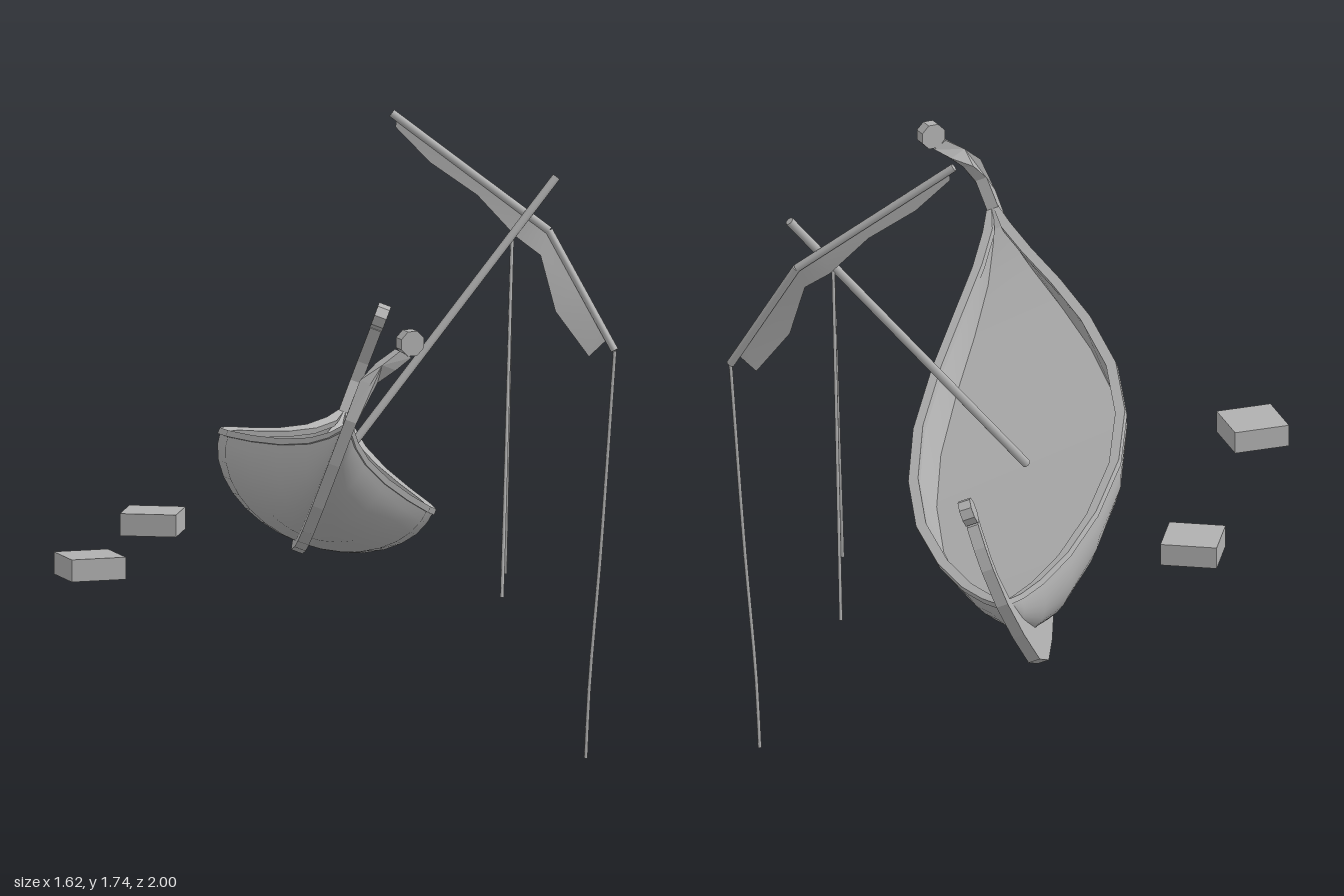
import * as THREE from 'three';
import { mergeGeometries } from 'three/addons/utils/BufferGeometryUtils.js';

const grey = new THREE.MeshStandardMaterial({ color: 0xb0b0b0, side: THREE.DoubleSide });
grey.name = 'weathered grey';
const V = (x, y, z) => new THREE.Vector3(x, y, z);

function part(name, geometry, parent) {
  const mesh = new THREE.Mesh(geometry, grey);
  mesh.name = name;
  parent.add(mesh);
  return mesh;
}

// Surface through rows of points, smooth unless flat is set
function loft(rows, flat = false) {
  const n = rows[0].length, index = [];
  for (let i = 0; i < rows.length - 1; i++) {
    for (let j = 0; j < n - 1; j++) {
      const a = i * n + j, b = a + n;
      index.push(a, b, a + 1, b, b + 1, a + 1);
    }
  }
  let g = new THREE.BufferGeometry();
  g.setAttribute('position', new THREE.Float32BufferAttribute(rows.flat(2), 3));
  g.setIndex(index);
  if (flat) g = g.toNonIndexed();
  g.computeVertexNormals();
  return g;
}

// Straight pole between two points
function pole(a, b, r, sides = 8) {
  const d = b.clone().sub(a);
  const g = new THREE.CylinderGeometry(r, r, d.length(), sides);
  g.applyQuaternion(new THREE.Quaternion().setFromUnitVectors(V(0, 1, 0), d.normalize()));
  const m = a.clone().add(b).multiplyScalar(0.5);
  return g.translate(m.x, m.y, m.z);
}

// Half stations from midship to stem: [along, half width, rail height, keel height]
const half = [
  [0, 0.305, -0.14, -0.35], [0.25, 0.285, -0.135, -0.345], [0.5, 0.222, -0.12, -0.32],
  [0.7, 0.148, -0.097, -0.275], [0.85, 0.08, -0.065, -0.2], [0.95, 0.036, -0.03, -0.11],
  [1.01, 0.012, 0, -0.02],
];
const stations = [...half.slice(1).reverse().map(([s, ...r]) => [-s, ...r]), ...half];

function buildHull(ship) {
  // Round outer skin
  part('hull', loft(stations.map(([s, w, g, k]) => {
    const row = [];
    for (let i = 0; i <= 16; i++) {
      const a = -Math.PI / 2 + Math.PI * i / 16;
      row.push([w * Math.sin(a), g + (k - g) * Math.cos(a), s]);
    }
    return row;
  })), ship);

  // Sunken deck between the side walls
  const deckY = ([, , g, k]) => g - Math.min(0.1, (g - k) * 0.48);
  const deckW = (w) => Math.max(0.004, w * 0.9 - 0.008);
  part('deck', loft(stations.map((q) => [-1, 1].map((m) => [m * deckW(q[1]), deckY(q), q[0]]))), ship);

  for (const m of [-1, 1]) {
    const side = m < 0 ? 'right' : 'left';
    part(side + 'InnerWall', loft(stations.map((q) => [
      [m * Math.max(0.004, q[1] - 0.022), q[2], q[0]], [m * deckW(q[1]), deckY(q), q[0]],
    ])), ship);
    // Rail with a small square section
    part(side + 'Rail', loft(stations.map(([s, w, g]) => {
      const o = m * (w + 0.004), i = m * Math.max(0.002, w - 0.024);
      return [[o, g - 0.014, s], [o, g + 0.003, s], [i, g + 0.003, s], [i, g - 0.014, s], [o, g - 0.014, s]];
    }), true), ship);
  }
}

// Keel plank rising to a curled stem with a round knob; the bow's curl is twisted sideways
function stemGeometry(twist) {
  const outline = [
    [0, -0.375], [0.51, -0.356], [0.7, -0.335], [0.856, -0.302], [0.965, -0.228], [1.026, -0.106],
    [1.062, 0.02], [1.053, 0.132], [1.03, 0.19], [0.994, 0.242],
    [0.955, 0.236], [0.983, 0.19], [1.012, 0.14], [1.023, 0.087], [1.005, 0],
    [0.93, -0.11], [0.83, -0.2], [0.68, -0.27], [0.5, -0.31], [0, -0.34],
  ];
  const shape = new THREE.Shape(outline.map(([s, h]) => new THREE.Vector2(s, h)));
  const plank = new THREE.ExtrudeGeometry(shape, { depth: 0.032, bevelEnabled: false }).translate(0, 0, -0.016);
  const knob = new THREE.CylinderGeometry(0.036, 0.036, 0.034, 8).toNonIndexed()
    .rotateX(Math.PI / 2).translate(0.967, 0.272, 0);
  const g = mergeGeometries([plank, knob]).rotateY(-Math.PI / 2);
  const p = g.attributes.position;
  for (let i = 0; i < p.count; i++) {
    const a = twist * THREE.MathUtils.clamp((p.getY(i) - 0.1) / 0.1, 0, 1);
    const t = p.getX(i), s = p.getZ(i) - 1.05;
    if (a) p.setXYZ(i, t * Math.cos(a) - s * Math.sin(a), p.getY(i), 1.05 + t * Math.sin(a) + s * Math.cos(a));
  }
  g.computeVertexNormals();
  return g;
}

function buildRigging(root) {
  part('mast', pole(V(0.01, 0.75, 0), V(0.685, 1.56, 0), 0.012), root);

  // Broken yard in two lengths
  const yard = [V(0.282, 1.728, -0.177), V(0.663, 1.417, 0.005), V(0.802, 1.105, 0.137)];
  part('upperYard', pole(yard[0], yard[1], 0.011), root);
  part('lowerYard', pole(yard[1], yard[2], 0.011), root);

  // Torn strip of sail hanging under the yard: [yard piece, share along it, lower edge x, y, z]
  const cuts = [
    [0, 0.03, 0.291, 1.69, -0.172], [0, 0.3, 0.374, 1.596, -0.13], [0, 0.58, 0.488, 1.51, -0.075],
    [0, 0.83, 0.58, 1.4, -0.025], [1, 0, 0.635, 1.353, 0.015], [1, 0.45, 0.663, 1.206, 0.055],
    [1, 0.8, 0.74, 1.087, 0.105], [1, 0.9, 0.79, 1.14, 0.124],
  ];
  part('sail', loft(cuts.map(([k, f, x, y, z]) => {
    const top = yard[k].clone().lerp(yard[k + 1], f);
    return [[top.x, top.y, top.z], [x, y, z]];
  })), root);

  // Stays from the mast and a loose rope from the yard end
  const top = V(0.56, 1.405, 0);
  part('frontStay', pole(top, V(0.46, 0.465, 0.2), 0.005, 6), root);
  part('backStay', pole(top, V(0.61, 0.465, -0.195), 0.005, 6), root);
  const rope = new THREE.CatmullRomCurve3([
    V(0.802, 1.105, 0.137), V(0.768, 0.565, 0.12), V(0.744, 0.2, 0.097), V(0.739, 0, 0.082),
  ]);
  part('looseRope', new THREE.TubeGeometry(rope, 12, 0.005, 6), root);
}

// Shallow crate with an open underside
function crate(name, x, z, turn, root) {
  const g = new THREE.BoxGeometry(0.152, 0.06, 0.152);
  const index = Array.from(g.index.array);
  index.splice(18, 6);
  g.setIndex(index);
  g.clearGroups();
  const mesh = part(name, g, root);
  mesh.position.set(x, 0.625, z);
  mesh.rotation.y = turn;
}

export function createModel() {
  const root = new THREE.Group();
  root.name = 'wreckedLongship';

  // Ship heeled over to its left and turned
  const ship = new THREE.Group();
  ship.name = 'ship';
  ship.position.set(0.09, 0.934, 0);
  ship.rotation.set(0, THREE.MathUtils.degToRad(-20.7), THREE.MathUtils.degToRad(-22), 'ZYX');
  root.add(ship);
  buildHull(ship);
  part('bowStem', stemGeometry(1.1), ship);
  part('sternStem', stemGeometry(0).rotateY(Math.PI), ship);

  buildRigging(root);
  crate('leftCrate', -0.735, 0.277, -0.02, root);
  crate('rearCrate', -0.318, -0.394, -0.51, root);
  return root;
}
